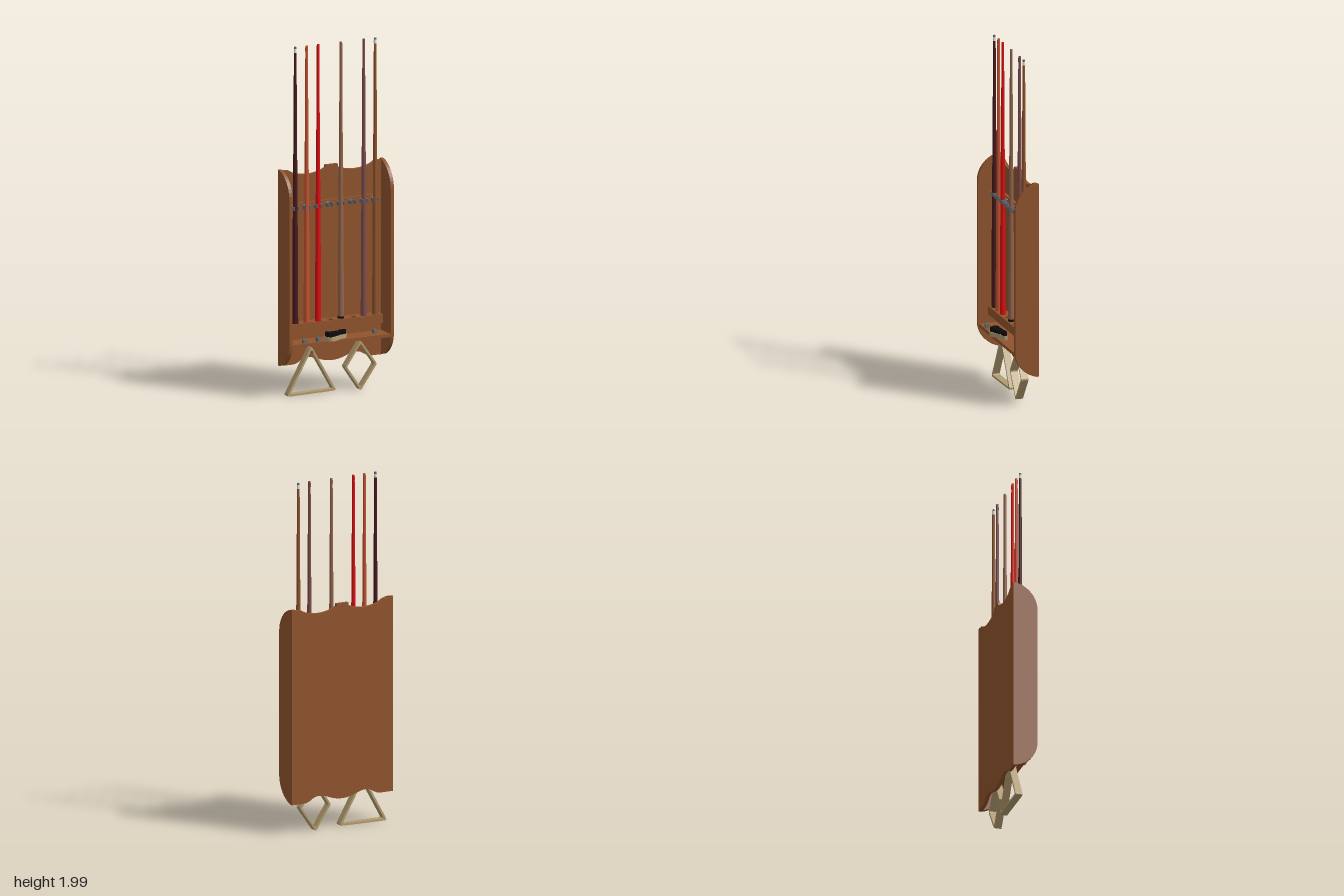
import * as THREE from 'three';

const mat = (name, color) => Object.assign(new THREE.MeshStandardMaterial({ color }), { name });

export function createModel() {
  const M = {
    wood: mat('wood', 0x8f532c), maroon: mat('maroon', 0x45191c), orange: mat('orange', 0xc5532f),
    red: mat('red', 0xdd0c12), tan: mat('light brown', 0x93644c), mauve: mat('mauve', 0x7d4c4c),
    grey: mat('grey metal', 0x63686c), pale: mat('pale wood', 0xb39c70),
    black: mat('black', 0x0c0c0c), white: mat('white', 0xe8e8e4),
  };
  const root = new THREE.Group();
  root.name = 'cueRack';
  const add = (name, geo, m, x = 0, y = 0, z = 0, parent = root) => {
    const mesh = new THREE.Mesh(geo, m);
    mesh.name = name;
    mesh.position.set(x, y, z);
    parent.add(mesh);
    return mesh;
  };
  const extrude = (shape, depth, curveSegments = 10) =>
    new THREE.ExtrudeGeometry(shape, { depth, bevelEnabled: false, curveSegments });
  // Extrudes an (x, z) outline downwards from y = 0
  const slab = (shape, height, seg) => extrude(shape, height, seg).rotateX(Math.PI / 2);
  const polygon = (pts) => new THREE.Shape(pts.map(([x, y]) => new THREE.Vector2(x, y)));

  // Back board with scalloped top and bottom edges
  const board = new THREE.Shape();
  board.moveTo(-0.305, 0.18);
  board.lineTo(-0.25, 0.18);
  board.bezierCurveTo(-0.2, 0.18, -0.2, 0.212, -0.15, 0.212);
  board.bezierCurveTo(-0.1, 0.212, -0.07, 0.18, 0, 0.18);
  board.bezierCurveTo(0.07, 0.18, 0.1, 0.212, 0.15, 0.212);
  board.bezierCurveTo(0.2, 0.212, 0.2, 0.18, 0.25, 0.18);
  board.lineTo(0.305, 0.18);
  board.lineTo(0.305, 1.29);
  board.lineTo(0.268, 1.288);
  board.bezierCurveTo(0.21, 1.245, 0.1, 1.245, 0.038, 1.28);
  board.lineTo(0.036, 1.295);
  board.lineTo(-0.038, 1.295);
  board.lineTo(-0.04, 1.28);
  board.bezierCurveTo(-0.1, 1.245, -0.21, 1.245, -0.268, 1.288);
  board.lineTo(-0.305, 1.29);
  add('backBoard', extrude(board, 0.02), M.wood, 0, 0, -0.08);

  // Side panels with rounded front corners
  const side = new THREE.Shape();
  side.moveTo(-0.08, 0.18);
  side.lineTo(-0.065, 0.18);
  side.bezierCurveTo(0.005, 0.195, 0.06, 0.255, 0.06, 0.33);
  side.lineTo(0.06, 1.145);
  side.bezierCurveTo(0.06, 1.22, 0.005, 1.28, -0.065, 1.295);
  side.lineTo(-0.08, 1.295);
  const sideGeo = extrude(side, 0.02).rotateY(-Math.PI / 2);
  add('leftSidePanel', sideGeo, M.wood, 0.325);
  add('rightSidePanel', sideGeo, M.wood, -0.305);

  // Shelf, upper rail and cue holder block with sockets
  add('shelf', new THREE.BoxGeometry(0.61, 0.018, 0.115), M.wood, 0, 0.311, -0.0025);
  add('upperRail', new THREE.BoxGeometry(0.566, 0.045, 0.018), M.wood, 0, 1.078, -0.051);
  const slots = Array.from({ length: 8 }, (_, i) => -0.25 + i * 0.071);
  const cueZ = -0.017;
  const block = polygon([[-0.283, -0.06], [0.283, -0.06], [0.283, 0.008], [-0.283, 0.008]]);
  for (const x of slots) block.holes.push(new THREE.Path().absarc(x, cueZ, 0.019, 0, Math.PI * 2, true));
  add('cueHolder', slab(block, 0.04, 8), M.wood, 0, 0.425, 0);
  add('cueHolderBase', new THREE.BoxGeometry(0.566, 0.01, 0.068), M.wood, 0, 0.38, -0.026);

  // Spring clips, open to the front
  const clip = new THREE.Shape();
  clip.absarc(0, 0, 0.023, Math.PI * 0.68, Math.PI * 2.32, false);
  clip.absarc(0, 0, 0.0145, Math.PI * 2.32, Math.PI * 0.68, true);
  const clipGeo = slab(clip, 0.02, 12);
  const screwGeo = new THREE.CylinderGeometry(0.005, 0.005, 0.008, 8).rotateX(Math.PI / 2);
  for (const x of slots) {
    add('clip', clipGeo, M.grey, x, 1.09, cueZ);
    add('clipScrew', screwGeo, M.white, x, 1.087, -0.041);
  }

  // Cues: tapered shafts, some with a pale ferrule or dark butt
  const cues = [
    [0, M.maroon, true], [1, M.orange], [2, M.red],
    [4, M.tan, false, true], [6, M.mauve], [7, M.wood, true],
  ];
  const profile = [[0, 0], [0.015, 0], [0.017, 0.012], [0.0155, 0.4], [0.0125, 0.8], [0.0095, 1.2], [0.0075, 1.583], [0, 1.583]];
  const cueGeo = new THREE.LatheGeometry(profile.map(([r, y]) => new THREE.Vector2(r, y)), 12);
  for (const [slot, m, ferrule, darkButt] of cues) {
    const cue = new THREE.Group();
    cue.name = 'cue';
    cue.position.set(slots[slot], 0.387, cueZ);
    root.add(cue);
    add('shaft', cueGeo, m, 0, 0, 0, cue);
    add('ferrule', new THREE.CylinderGeometry(0.0078, 0.0082, 0.022, 12), ferrule ? M.white : m, 0, 1.592, 0, cue);
    add('tip', new THREE.CylinderGeometry(0.0068, 0.0076, 0.01, 12), ferrule ? M.grey : m, 0, 1.608, 0, cue);
    if (darkButt) add('buttCap', new THREE.CylinderGeometry(0.0185, 0.0185, 0.05, 12), M.black, 0, 0.025, 0, cue);
  }

  // Chalk cubes on the shelf
  const chalkGeo = new THREE.BoxGeometry(0.022, 0.022, 0.022);
  for (const [x, z, turn] of [[-0.22, 0.038, 0], [-0.13, 0.027, 0.3], [0.237, -0.005, 0.15]]) {
    add('chalk', chalkGeo, M.grey, x, 0.331, z).rotation.y = turn;
  }

  // Table brush lying bristles up
  const handle = new THREE.Shape();
  handle.moveTo(0.049, 0.009);
  handle.bezierCurveTo(0.052, 0.025, 0.045, 0.034, 0.015, 0.04);
  handle.bezierCurveTo(-0.02, 0.046, -0.03, 0.077, -0.06, 0.077);
  handle.bezierCurveTo(-0.088, 0.077, -0.1, 0.045, -0.088, 0.024);
  handle.bezierCurveTo(-0.08, 0.01, -0.05, 0.011, 0, 0.01);
  add('brushHandle', slab(handle, 0.024), M.pale, 0, 0.345, 0);
  const tufts = [
    [[-0.091, 0.045], [-0.085, 0.024], [-0.068, 0.017], [-0.05, 0.067], [-0.062, 0.074], [-0.08, 0.068]],
    [[-0.061, 0.015], [-0.003, 0.012], [0.006, 0.039], [-0.014, 0.048], [-0.043, 0.065]],
    [[0.005, 0.012], [0.046, 0.011], [0.046, 0.022], [0.037, 0.031], [0.015, 0.037]],
  ];
  tufts.forEach((pts, i) => add('brushBristles', slab(polygon(pts), 0.024), M.black, 0, i === 1 ? 0.364 : 0.368, 0));

  // Ball racks: rounded hollow frames hanging below the shelf
  const frame = (pts, thickness, depth) => {
    const c = pts.reduce((s, p) => [s[0] + p[0] / pts.length, s[1] + p[1] / pts.length], [0, 0]);
    const loop = (path, k) => {
      const q = pts.map((p) => [c[0] + (p[0] - c[0]) * k, c[1] + (p[1] - c[1]) * k]);
      const mix = (a, b, t) => [a[0] + (b[0] - a[0]) * t, a[1] + (b[1] - a[1]) * t];
      q.forEach((p, i) => {
        const start = mix(p, q[(i + q.length - 1) % q.length], 0.06);
        if (i) path.lineTo(...start); else path.moveTo(...start);
        path.quadraticCurveTo(...p, ...mix(p, q[(i + 1) % q.length], 0.06));
      });
      path.closePath();
      return path;
    };
    const shape = loop(new THREE.Shape(), 1);
    shape.holes.push(loop(new THREE.Path(), 1 - thickness));
    return extrude(shape, depth, 5);
  };
  add('triangleRack', frame([[-0.302, 0.01], [0.007, 0.016], [-0.148, 0.285]], 0.13, 0.04), M.pale, 0, 0, -0.058);
  add('diamondRack', frame([[0.15, 0.002], [0.252, 0.145], [0.15, 0.288], [0.052, 0.145]], 0.13, 0.042), M.pale, 0, 0, -0.044);
  const pegGeo = new THREE.CylinderGeometry(0.006, 0.006, 0.056, 10).rotateX(Math.PI / 2);
  for (const x of [-0.148, 0.15]) add('rackPeg', pegGeo, M.wood, x, 0.252, -0.033);

  return root;
}
